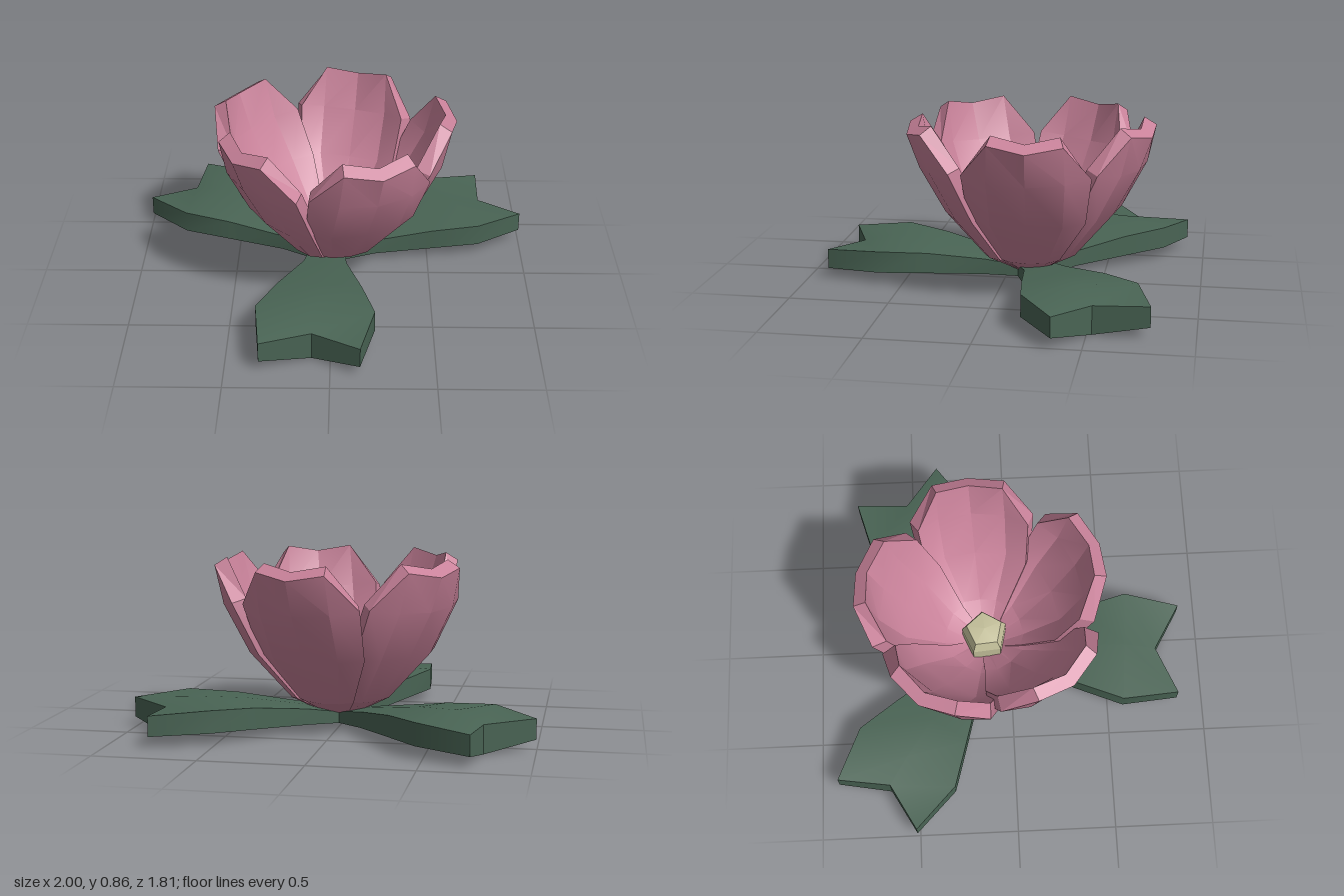
import * as THREE from 'three';
import { toCreasedNormals } from 'three/addons/utils/BufferGeometryUtils.js';

const pink = new THREE.MeshStandardMaterial({ color: 0xc9829a });
pink.name = 'petal pink';
const green = new THREE.MeshStandardMaterial({ color: 0x496454 });
green.name = 'leaf green';
const cream = new THREE.MeshStandardMaterial({ color: 0xc6c29c });
cream.name = 'pistil cream';

// Closed slab between two matching grids of points (rows x columns).
function slab(outer, inner, crease) {
  const pos = [];
  const tri = (a, b, c) => {
    const area = b.clone().sub(a).cross(c.clone().sub(a)).length();
    if (area > 1e-6) for (const p of [a, b, c]) pos.push(p.x, p.y, p.z);
  };
  const quad = (a, b, c, d) => { tri(a, b, c); tri(a, c, d); };
  const R = outer.length - 1, C = outer[0].length - 1;
  for (let r = 0; r < R; r++) {
    for (let c = 0; c < C; c++) {
      quad(outer[r][c], outer[r + 1][c], outer[r + 1][c + 1], outer[r][c + 1]);
      quad(inner[r][c], inner[r][c + 1], inner[r + 1][c + 1], inner[r + 1][c]);
    }
  }
  // rim walls
  const walk = [];
  for (let r = 0; r < R; r++) walk.push([r, 0]);
  for (let c = 0; c < C; c++) walk.push([R, c]);
  for (let r = R; r > 0; r--) walk.push([r, C]);
  for (let c = C; c > 0; c--) walk.push([0, c]);
  walk.forEach(([r, c], i) => {
    const [s, d] = walk[(i + 1) % walk.length];
    quad(outer[s][d], outer[r][c], inner[r][c], inner[s][d]);
  });
  const g = new THREE.BufferGeometry();
  g.setAttribute('position', new THREE.Float32BufferAttribute(pos, 3));
  return toCreasedNormals(g, crease);
}

// Cupped petal pointing along +x; each row lists middle, side and edge points
// as [radius, height, half width], then the inward and upward thickness.
// A slight twist tucks one edge behind the next petal.
function petalGeometry() {
  const twist = 0.06;
  const rows = [
    { p: [[0.03, 0.045, 0], [0.03, 0.045, 0.03], [0.02, 0.045, 0.04]], t: [0.01, 0.06] },
    { p: [[0.24, 0.15, 0], [0.23, 0.155, 0.095], [0.19, 0.16, 0.155]], t: [0.04, 0.06] },
    { p: [[0.44, 0.385, 0], [0.42, 0.39, 0.175], [0.355, 0.40, 0.285]], t: [0.06, 0.035] },
    { p: [[0.57, 0.62, 0], [0.545, 0.63, 0.186], [0.475, 0.65, 0.312]], t: [0.065, 0.02] },
    { p: [[0.632, 0.79, 0], [0.59, 0.82, 0.18], [0.475, 0.65, 0.312]], t: [0.06, 0.038] },
  ];
  const outer = [], inner = [];
  rows.forEach(({ p, t }, r) => {
    const o = [], n = [];
    for (let c = -2; c <= 2; c++) {
      const k = Math.abs(c), s = Math.sign(c);
      const [rad, y, w] = p[k];
      const [dr, dy] = k === 2 && r === 4 ? rows[3].t : t;
      const x = rad - twist * s * w;
      o.push(new THREE.Vector3(x, y, s * w));
      n.push(new THREE.Vector3(x - dr, y + dy, s * (w - dr * 0.28 * k)));
    }
    outer.push(o);
    inner.push(n);
  });
  return slab(outer, inner, 0.33);
}

// Notched leaf along +x, keeled underneath: [middle radius, side radius,
// half width, middle top, middle bottom, side top, side bottom]
function leafGeometry() {
  const rows = [
    [0, 0, 0.085, 0.08, 0.02, 0.08, 0.03],
    [0.22, 0.22, 0.11, 0.12, 0.03, 0.115, 0.035],
    [0.5, 0.5, 0.21, 0.165, 0.035, 0.155, 0.05],
    [0.735, 0.735, 0.29, 0.185, 0.02, 0.17, 0.06],
    [0.9, 1.02, 0.24, 0.14, 0, 0.15, 0.05],
  ];
  const under = [], top = [];
  for (const [mr, sr, w, mt, mb, st, sb] of rows) {
    const line = (mid, side) => [-1, 0, 1].map(
      (s) => new THREE.Vector3(s ? sr : mr, s ? side : mid, s * w));
    top.push(line(mt, st));
    under.push(line(mb, sb));
  }
  return slab(under, top, 0.7);
}

// Copies of a part spread evenly around the upright axis
function ring(parent, geometry, material, name, count, startDegrees) {
  for (let i = 0; i < count; i++) {
    const mesh = new THREE.Mesh(geometry, material);
    mesh.name = name + (i + 1);
    mesh.rotation.y = -THREE.MathUtils.degToRad(startDegrees + (i * 360) / count);
    parent.add(mesh);
  }
}

export function createModel() {
  const model = new THREE.Group();
  model.name = 'flower';

  const blossom = new THREE.Group();
  blossom.name = 'blossom';
  blossom.position.set(0, 0, -0.13);
  ring(blossom, petalGeometry(), pink, 'petal', 5, -5);

  // five-sided pistil with a slightly domed top
  const profile = [[0, 0.1], [0.12, 0.1], [0.12, 0.24], [0.095, 0.3], [0, 0.315]];
  const pistil = new THREE.Mesh(
    toCreasedNormals(new THREE.LatheGeometry(
      profile.map(([x, y]) => new THREE.Vector2(x, y)), 5), 0.3), cream);
  pistil.name = 'pistil';
  pistil.rotation.y = THREE.MathUtils.degToRad(95);
  blossom.add(pistil);
  model.add(blossom);

  const leaves = new THREE.Group();
  leaves.name = 'leaves';
  leaves.position.set(-0.02, 0, -0.135);
  ring(leaves, leafGeometry(), green, 'leaf', 3, 94.4);
  model.add(leaves);

  return model;
}
